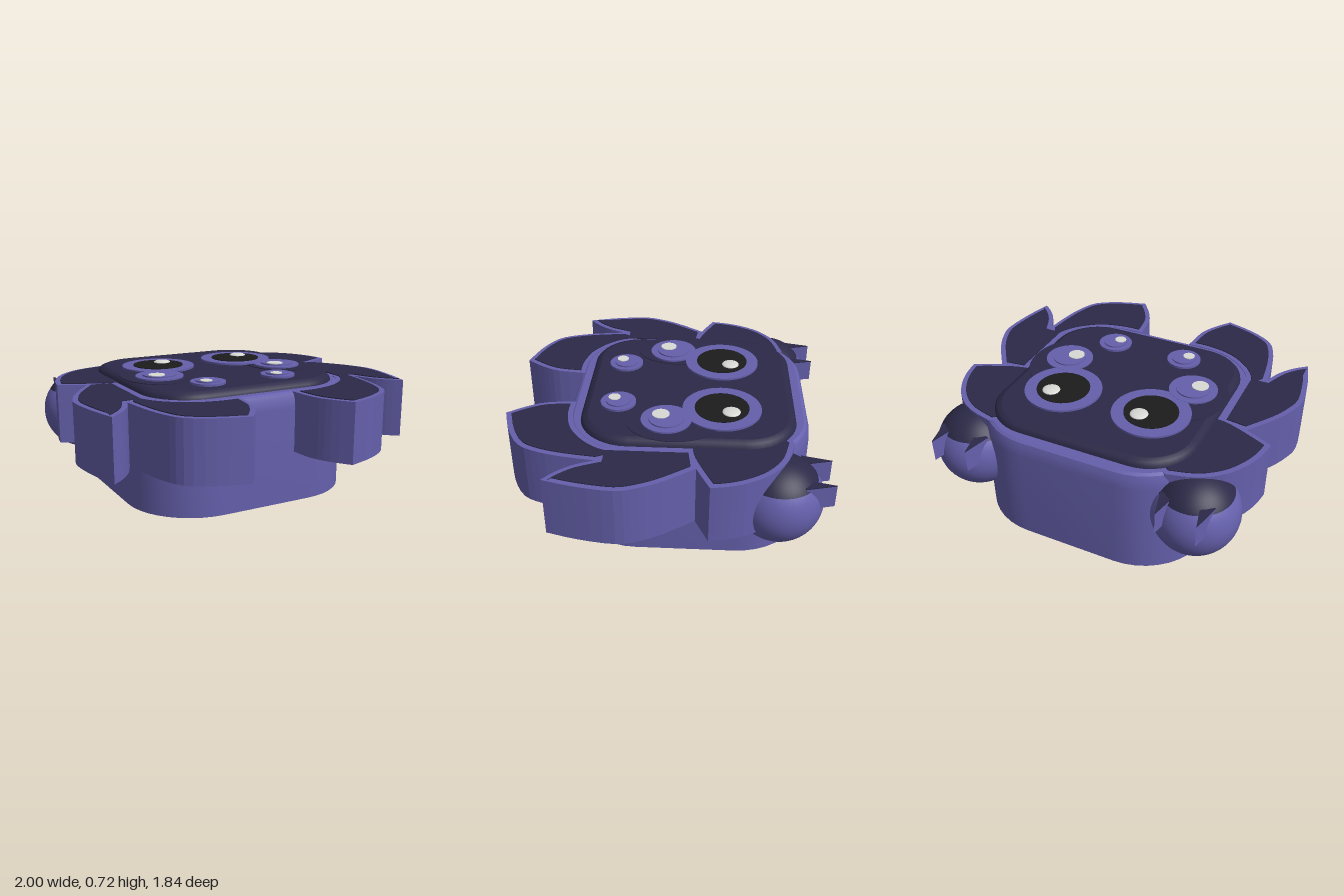
import * as THREE from 'three';
import { toCreasedNormals } from 'three/addons/utils/BufferGeometryUtils.js';

const mat = (name, color) => {
  const m = new THREE.MeshStandardMaterial({ color });
  m.name = name;
  return m;
};

// Rounded rectangle as a loop of [x, z], counter-clockwise seen from above
function roundedLoop(halfW, z0, z1, r, inset) {
  const pts = [], n = 10, rr = r - inset;
  const cx = halfW - r, corners = [[cx, z0 + r], [-cx, z0 + r], [-cx, z1 - r], [cx, z1 - r]];
  corners.forEach(([x, z], k) => {
    for (let i = 0; i <= n; i++) {
      const a = (k + i / n) * Math.PI / 2;
      pts.push([x + Math.cos(a) * rr, z - Math.sin(a) * rr]);
    }
  });
  return pts;
}

// Wall through loops at given [y, inset] levels
function loft(loopAt, levels) {
  const pos = [], idx = [];
  let n = 0;
  levels.forEach(([y, inset]) => {
    const loop = loopAt(inset);
    n = loop.length;
    loop.forEach(([x, z]) => pos.push(x, y, z));
  });
  for (let l = 0; l < levels.length - 1; l++) {
    for (let i = 0; i < n; i++) {
      const a = l * n + i, b = l * n + (i + 1) % n;
      idx.push(a, b, b + n, a, b + n, a + n);
    }
  }
  const g = new THREE.BufferGeometry();
  g.setAttribute('position', new THREE.Float32BufferAttribute(pos, 3));
  g.setIndex(idx);
  return toCreasedNormals(g, 0.6);
}

const shapeOf = (pts) => new THREE.Shape(pts.map(([x, z]) => new THREE.Vector2(x, -z)));
// Upright slab or flat face from an outline of [x, z]
const slab = (pts, y0, h) => new THREE.ExtrudeGeometry(shapeOf(pts), { depth: h, bevelEnabled: false })
  .rotateX(-Math.PI / 2).translate(0, y0, 0);
const face = (pts, y) => new THREE.ShapeGeometry(shapeOf(pts)).rotateX(-Math.PI / 2).translate(0, y, 0);

// Closed outline from smooth edges that meet at sharp corners
const smoothOutline = (edges) => edges.flatMap((edge, i) => {
  const pts = [...edge, edges[(i + 1) % edges.length][0]];
  if (pts.length === 2) return [pts[0]];
  const curve = new THREE.SplineCurve(pts.map(([x, z]) => new THREE.Vector2(x, z)));
  return curve.getPoints((pts.length - 1) * 3).slice(0, -1).map((p) => [p.x, p.y]);
});

// Offset an outline inwards
function insetLoop(pts, d) {
  const n = pts.length;
  let area = 0;
  pts.forEach(([x, z], i) => { const [u, v] = pts[(i + 1) % n]; area += x * v - u * z; });
  const s = Math.sign(area);
  const normal = (a, b) => {
    const dx = b[0] - a[0], dz = b[1] - a[1], l = Math.hypot(dx, dz);
    return [-dz / l * s, dx / l * s];
  };
  return pts.map((p, i) => {
    const a = normal(pts[(i + n - 1) % n], p), b = normal(p, pts[(i + 1) % n]);
    const k = d / Math.max(0.3, 1 + a[0] * b[0] + a[1] * b[1]);
    return [p[0] + (a[0] + b[0]) * k, p[1] + (a[1] + b[1]) * k];
  });
}

// Left leg outlines, one list of [x, z] per edge
const LEGS = {
  frontLeg: [
    [[0.17, 0.53], [0.19, 0.7], [0.24, 0.81]],
    [[0.315, 0.915], [0.49, 0.86], [0.63, 0.775], [0.69, 0.66], [0.725, 0.52]],
    [[0.75, 0.34], [0.7, 0.25]],
    [[0.64, 0.26], [0.615, 0.335], [0.549, 0.419], [0.44, 0.495], [0.3, 0.53]],
  ],
  middleLeg: [
    [[0.63, 0.33]],
    [[0.745, 0.335], [0.795, 0.45], [0.86, 0.535]],
    [[0.93, 0.595], [0.975, 0.42], [1, 0.22], [0.97, 0.1], [0.91, -0.02]],
    [[0.79, -0.19]],
    [[0.63, -0.17]],
  ],
  backLeg: [
    [[0.5, -0.13], [0.66, -0.14], [0.8, -0.19]],
    [[0.95, -0.26], [0.93, -0.37], [0.885, -0.48], [0.81, -0.585], [0.69, -0.67]],
    [[0.53, -0.715]],
    [[0.48, -0.68]],
  ],
};

export function createModel() {
  const purple = mat('purple', 0x6560ac), dark = mat('dark violet', 0x2b2947);
  const black = mat('black', 0x1c1c1c), white = mat('soft white', 0xd9d9d5);
  const model = new THREE.Group();
  model.name = 'spiderCase';
  const add = (name, geo, material, parent = model) => {
    const m = new THREE.Mesh(geo, material);
    m.name = name;
    parent.add(m);
    return m;
  };

  // Body shell with rounded top edge and a recessed underside
  const body = (inset) => roundedLoop(0.69, -0.82, 0.56, 0.41, inset);
  add('bodyShell', loft(body, [[0.05, 0.035], [0, 0.035], [0, 0], [0.56, 0], [0.61, 0.006], [0.64, 0.018], [0.65, 0.035]]), purple);
  add('bodyTop', face(body(0.035), 0.65), purple);
  const under = face(body(0.035).map(([x, z]) => [x, -z]), 0);
  add('underside', under.rotateX(Math.PI).translate(0, 0.05, 0), dark);

  // Raised face plate
  const plate = (inset) => roundedLoop(0.615, -0.74, 0.48, 0.29, inset);
  add('facePlate', loft(plate, [[0.645, 0], [0.665, 0.004], [0.68, 0.018], [0.69, 0.045]]), dark);
  add('facePlateTop', face(plate(0.045), 0.69), dark);

  for (const s of [1, -1]) {
    const side = s > 0 ? 'left' : 'right';

    // Legs: purple slabs with an inset dark top
    for (const [name, edges] of Object.entries(LEGS)) {
      const pts = smoothOutline(edges).map(([x, z]) => [s * x, z]);
      const leg = new THREE.Group();
      leg.name = side + name[0].toUpperCase() + name.slice(1);
      model.add(leg);
      add('legSlab', slab(pts, 0.3, 0.35), purple, leg);
      add('legTop', slab(insetLoop(pts, 0.03), 0.65, 0.005), dark, leg);
    }

    // Rear foot: ball with dark cap and two claws
    const foot = new THREE.Group();
    foot.name = side + 'RearFoot';
    foot.position.set(s * 0.68, 0.4, -0.635);
    model.add(foot);
    const capAngle = Math.acos(0.14 / 0.245);
    add('footBall', new THREE.SphereGeometry(0.245, 40, 24, 0, Math.PI * 2, capAngle, Math.PI - capAngle), purple, foot);
    add('footCap', new THREE.SphereGeometry(0.245, 40, 12, 0, Math.PI * 2, 0, capAngle), dark, foot);
    for (const x of [-0.115, 0.105]) {
      const claw = [[s * x - 0.04, -0.12], [s * x + 0.04, -0.12], [s * x, -0.285]];
      add('claw', slab(claw, 0.03, 0.13), purple, foot);
      add('clawTop', slab(claw, 0.16, 0.005), dark, foot);
    }

    // Eyes: rims, pupil and highlights
    const disc = (name, r, y, h, x, z, m) =>
      add(name, new THREE.CylinderGeometry(r, r, h, 48).translate(x, y + h / 2, z), m);
    const socket = new THREE.CylinderGeometry(1, 1, 0.004, 48).scale(0.19, 1, 0.26);
    add('sideEyeSocket', socket.translate(s * 0.428, 0.692, -0.05), dark);
    disc('mainEyeRim', 0.225, 0.69, 0.012, s * 0.278, -0.32, purple);
    disc('mainEyePupil', 0.155, 0.702, 0.004, s * 0.278, -0.32, black);
    const shine = new THREE.SphereGeometry(0.052, 24, 12).scale(1, 0.25, 1);
    add('mainEyeHighlight', shine.translate(s * 0.278 + 0.05, 0.708, -0.373), white);
    for (const [name, r, x, z, off, hr] of [['sideEye', 0.142, 0.407, -0.01, 0.031, 0.049], ['frontEye', 0.102, 0.233, 0.275, 0.024, 0.035]]) {
      disc(name, r, 0.69, 0.013, s * x, z, purple);
      disc(name + 'Center', r * 0.7, 0.703, 0.008, s * x, z, purple);
      disc(name + 'Highlight', hr, 0.711, 0.004, s * x - off, z + off, white);
    }
  }
  return model;
}
